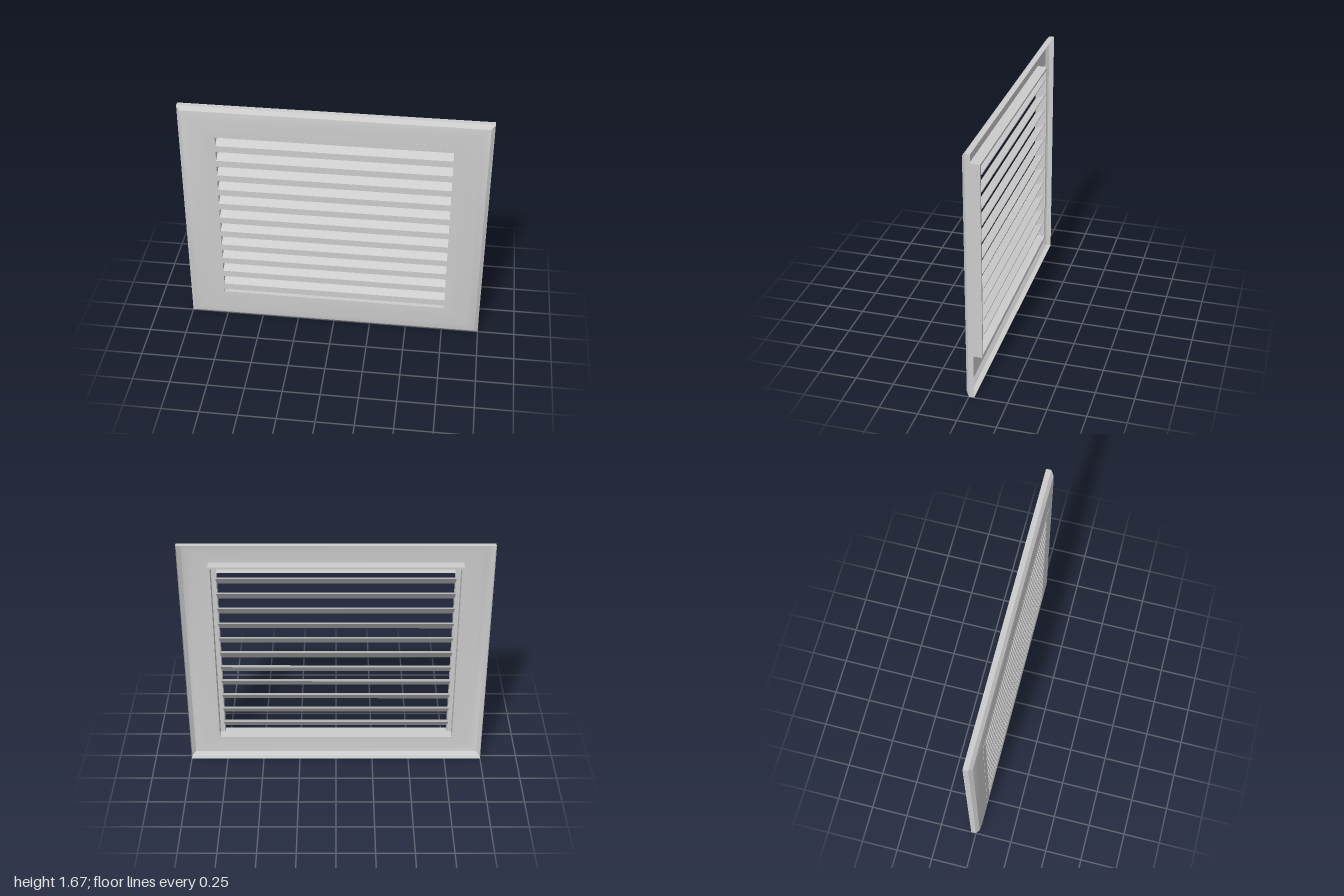
import * as THREE from 'three';
import { toCreasedNormals } from 'three/addons/utils/BufferGeometryUtils.js';

const BACK = -0.034, FRONT = 0.035;
const OUTER = { x: 1, bottom: 0, top: 1.668 };
const COLLAR = { x: 0.81, bottom: 0.17, top: 1.515 };
const OPEN = { x: 0.758, bottom: 0.215, top: 1.467 };

// Rectangular loop shrunk by an inset, counter-clockwise from the front
function loop({ x, bottom, top }, inset, z) {
  const w = x - inset, b = bottom + inset, t = top - inset;
  return [[-w, b, z], [w, b, z], [w, t, z], [-w, t, z]];
}

// Mitred sheet through a series of rectangular loops
function loftGeometry(loops) {
  const pos = [];
  for (let i = 0; i < loops.length - 1; i++) {
    for (let j = 0; j < 4; j++) {
      const k = (j + 1) % 4;
      const a = loops[i][j], b = loops[i][k], c = loops[i + 1][k], d = loops[i + 1][j];
      pos.push(...a, ...b, ...c, ...a, ...c, ...d);
    }
  }
  const geometry = new THREE.BufferGeometry();
  geometry.setAttribute('position', new THREE.Float32BufferAttribute(pos, 3));
  return toCreasedNormals(geometry, 0.4);
}

// Hollow cover: side wall, flat bevel, then a gentle dome up to the collar
function coverGeometry() {
  const profile = [[0, BACK], [0, 0], [0.024, 0.021], [0.045, 0.0265], [0.08, 0.031]];
  const loops = profile.map(([inset, z]) => loop(OUTER, inset, z));
  return loftGeometry([...loops, loop(COLLAR, 0, 0.0335)]);
}

// Slat: a wedge rising from its front face to a thin back edge
function slatGeometry() {
  const shape = new THREE.Shape();
  shape.moveTo(FRONT, -0.0225).lineTo(FRONT, 0.0225).lineTo(BACK, 0.0595).lineTo(BACK, 0.0525).closePath();
  const length = OPEN.x * 2 + 0.01;
  const geometry = new THREE.ExtrudeGeometry(shape, { depth: length, bevelEnabled: false });
  return geometry.rotateY(-Math.PI / 2).translate(length / 2, 0, 0);
}

export function createModel() {
  const model = new THREE.Group();
  model.name = 'louvreVent';
  const solid = new THREE.MeshStandardMaterial({ color: 0xcccccc });
  const sheet = new THREE.MeshStandardMaterial({ color: 0xcccccc, side: THREE.DoubleSide });

  const add = (name, geometry, material, parent = model) => {
    const mesh = new THREE.Mesh(geometry, material);
    mesh.name = name;
    parent.add(mesh);
    return mesh;
  };

  add('coverPlate', coverGeometry(), sheet);

  // Collar standing behind the plate, with a narrow rear rim
  add('collar', loftGeometry([
    loop(COLLAR, 0, FRONT), loop(COLLAR, 0, BACK), loop(COLLAR, 0.015, BACK), loop(COLLAR, 0.015, FRONT),
  ]), sheet);

  // Flat front panel turned back around the opening
  add('frontPanel', loftGeometry([
    loop(COLLAR, 0, FRONT), loop(OPEN, 0, FRONT), loop(OPEN, 0, -0.02),
  ]), sheet);

  // Eleven evenly spaced slats
  const slats = new THREE.Group();
  slats.name = 'slats';
  model.add(slats);
  const slat = slatGeometry();
  for (let i = 0; i < 11; i++) {
    add('slat', slat, solid, slats).position.y = 1.382 - i * 0.112;
  }
  return model;
}
